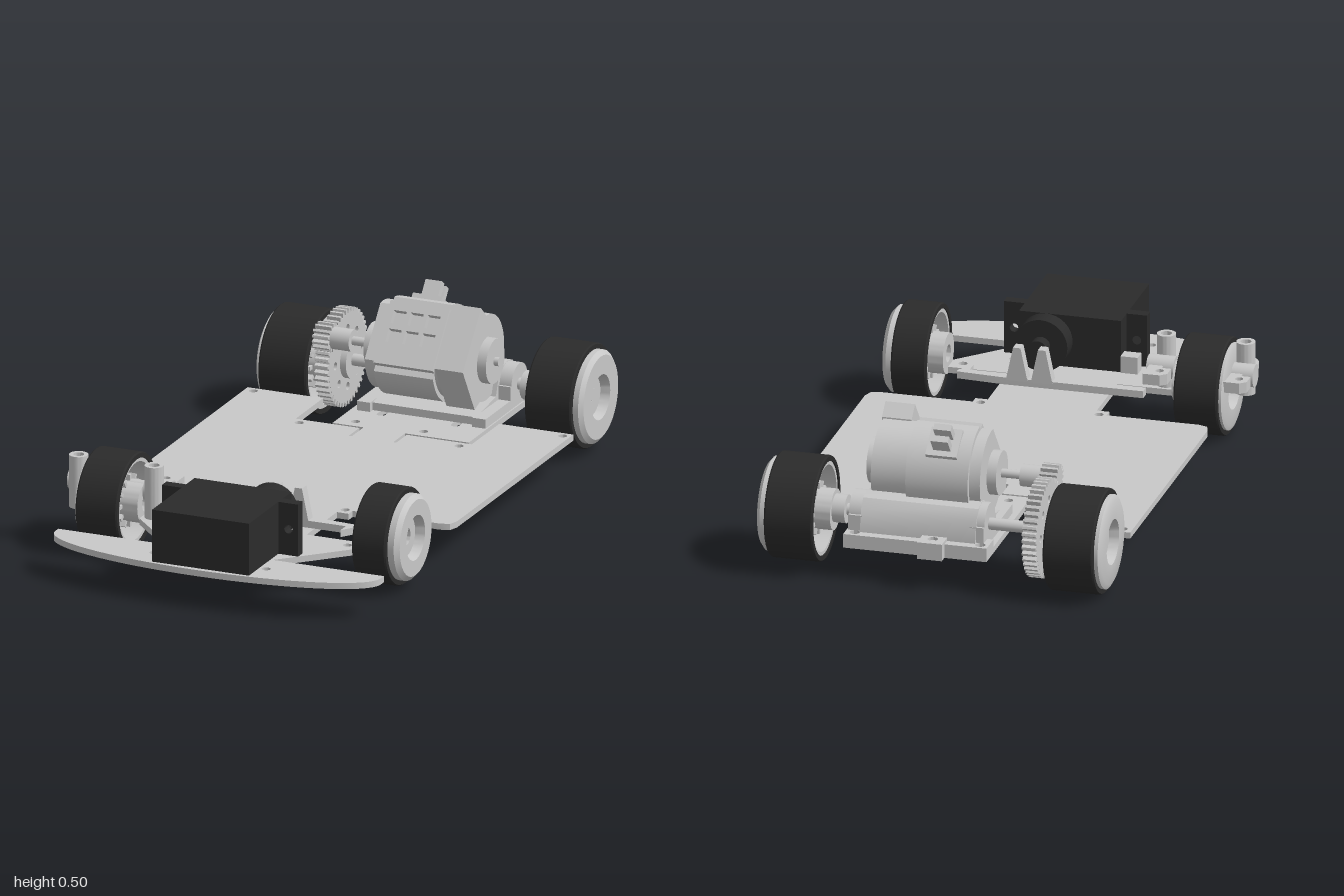
import * as THREE from 'three';
import { toCreasedNormals } from 'three/addons/utils/BufferGeometryUtils.js';

const grey = new THREE.MeshStandardMaterial({ color: 0xc8c8c8 });
grey.name = 'light grey';
const black = new THREE.MeshStandardMaterial({ color: 0x2b2b2b });
black.name = 'black';

export function createModel() {
  const model = new THREE.Group();

  const add = (name, geo, mat = grey, parent = model) => {
    const m = new THREE.Mesh(geo, mat);
    m.name = name;
    parent.add(m);
    return m;
  };
  const box = (x0, x1, y0, y1, z0, z1) =>
    new THREE.BoxGeometry(x1 - x0, y1 - y0, z1 - z0).translate((x0 + x1) / 2, (y0 + y1) / 2, (z0 + z1) / 2);
  const rodX = (r, x0, x1, y, z, n = 32) =>
    new THREE.CylinderGeometry(r, r, x1 - x0, n).rotateZ(Math.PI / 2).translate((x0 + x1) / 2, y, z);
  const rodZ = (r, z0, z1, x, y) =>
    new THREE.CylinderGeometry(r, r, z1 - z0, 32).rotateX(Math.PI / 2).translate(x, y, (z0 + z1) / 2);
  const poly = (pts) => new THREE.Shape(pts.map(([a, b]) => new THREE.Vector2(a, b)));
  const hole = (shape, x, y, r) => shape.holes.push(new THREE.Path().absarc(x, y, r, 0, Math.PI * 2, true));
  const ext = (shape, depth) =>
    toCreasedNormals(new THREE.ExtrudeGeometry(shape, { depth, bevelEnabled: false, curveSegments: 16 }), 0.5);
  // shape drawn in (z, y), extruded along x
  const extX = (shape, x0, x1) => ext(shape, x1 - x0).rotateY(-Math.PI / 2).translate(x1, 0, 0);
  // shape drawn in (x, z), extruded along y
  const extY = (shape, y0, y1) => ext(shape, y1 - y0).rotateX(Math.PI / 2).translate(0, y1, 0);

  // Chassis plate with flexible rear tongue, waist and curved bumper
  const bumper = [];
  for (let i = 0; i <= 32; i++) {
    const a = (i / 32) * Math.PI;
    bumper.push([0.03 + 0.55 * Math.cos(a), 0.835 + 0.157 * Math.sin(a)]);
  }
  const plate = poly([
    [-0.52, -0.64], [-0.265, -0.64], [-0.265, -0.43], [-0.05, -0.43], [-0.05, -0.35], [-0.04, -0.35],
    [-0.04, -0.44], [-0.145, -0.44], [-0.145, -0.95], [-0.01, -0.95], [-0.01, -0.98], [0.07, -0.98],
    [0.07, -0.95], [0.315, -0.95], [0.315, -0.44], [0.1, -0.44], [0.1, -0.35], [0.11, -0.35],
    [0.11, -0.43], [0.33, -0.43], [0.33, -0.64], [0.58, -0.64], [0.58, 0.25], [0.57, 0.28], [0.54, 0.29],
    [0.245, 0.29], [0.245, 0.32], [0.205, 0.32], [0.205, 0.55], [0.4, 0.55], [0.4, 0.61], [0.205, 0.81],
    [0.58, 0.81], ...bumper, [-0.52, 0.81], [-0.145, 0.81], [-0.33, 0.62], [-0.33, 0.55], [-0.145, 0.55],
    [-0.145, 0.32], [-0.185, 0.32], [-0.185, 0.29], [-0.48, 0.29], [-0.51, 0.28], [-0.52, 0.25],
  ]);
  for (const [x, z] of [[-0.49, -0.615], [0.555, -0.615], [-0.24, -0.4], [0.3, -0.4], [-0.16, 0.29],
    [0.22, 0.29], [0.22, 0.67], [-0.16, 0.895], [0.22, 0.895], [0.36, 0.59], [-0.085, -0.48], [0.145, -0.48]])
    hole(plate, x, z, 0.014);
  for (const x of [-0.04, 0.21]) for (const z of [-0.6, -0.76]) { // slots
    const s = new THREE.Path();
    s.absarc(x, z - 0.025, 0.014, Math.PI, 0, false);
    s.absarc(x, z + 0.025, 0.014, 0, Math.PI, false);
    plate.holes.push(s);
  }
  add('chassisPlate', extY(plate, 0.105, 0.125));

  // Wheels: hollow tyre, dished rim and hub; side is the outward x direction
  const wheel = (name, side, inner, width, lip, r, y, z, bore) => {
    const g = new THREE.Group();
    g.name = name;
    const lathe = (pts) => toCreasedNormals(
      new THREE.LatheGeometry(pts.map(([a, b]) => new THREE.Vector2(a, b)), 48), 0.5);
    const w = width, o = width + lip, k = r - 0.018;
    add('tyre', lathe([[k, 0], [r - 0.003, 0], [r, 0.005], [r, w - 0.005], [r - 0.003, w], [k, w], [k, 0]]), black, g);
    add('rim', lathe([[k - 0.012, 0.004], [k, 0.004], [k, w + lip * 0.6], [k - 0.015, o], [0.072, o],
      [0.064, o - 0.03], [bore, o - 0.03], [bore, w - 0.05], [k - 0.012, w - 0.05], [k - 0.012, 0.004]]), grey, g);
    add('hub', lathe([[bore, -0.03], [0.065, -0.03], [0.065, w - 0.05], [bore, w - 0.05], [bore, -0.03]]), grey, g);
    for (let i = 0; i < 12; i++)
      add('hubRib', box(0.06, 0.085, 0.02, w - 0.045, -0.006, 0.006).rotateY((i * Math.PI) / 6), grey, g);
    g.rotation.z = (-side * Math.PI) / 2;
    g.position.set(side * inner, y, z);
    model.add(g);
  };
  wheel('rearLeftWheel', 1, 0.4, 0.155, 0.03, 0.166, 0.184, -0.84, 0.018);
  wheel('rearRightWheel', -1, 0.34, 0.16, 0.02, 0.166, 0.17, -0.84, 0.018);
  wheel('frontLeftWheel', 1, 0.427, 0.113, 0.035, 0.155, 0.168, 0.555, 0.028);
  wheel('frontRightWheel', -1, 0.367, 0.14, 0.014, 0.155, 0.155, 0.555, 0.028);

  // Rear axle, spur gear and pinion
  add('rearAxle', rodX(0.019, -0.5, 0.56, 0.19, -0.84));
  const gear = (name, teeth, r, depth, x0, x1, y, z, holes) => {
    const pts = [];
    for (let i = 0; i < teeth; i++)
      [[0, -depth], [0.25, -depth], [0.4, 0], [0.75, 0]].forEach(([f, d]) => {
        const a = ((i + f) / teeth) * Math.PI * 2;
        pts.push([(r + d) * Math.cos(a), (r + d) * Math.sin(a)]);
      });
    const s = poly(pts);
    for (let i = 0; i < holes; i++) {
      const a = (i / holes) * Math.PI * 2;
      hole(s, 0.095 * Math.cos(a), 0.095 * Math.sin(a), 0.013);
    }
    add(name, extX(s, x0, x1).translate(0, y, z));
  };
  gear('spurGear', 44, 0.157, 0.014, -0.315, -0.27, 0.195, -0.84, 8);
  add('spurHub', rodX(0.06, -0.34, -0.25, 0.19, -0.84));
  gear('pinion', 14, 0.046, 0.013, -0.31, -0.255, 0.305, -0.7, 0);
  add('pinionCollar', rodX(0.035, -0.255, -0.19, 0.305, -0.7));
  add('motorShaft', rodX(0.014, -0.3, 0.305, 0.305, -0.7, 16));

  // Rear axle housing and motor mount
  const housing = poly([[-0.92, 0.125], [-0.6, 0.125], [-0.6, 0.15], [-0.75, 0.17], [-0.77, 0.225],
    [-0.8, 0.25], [-0.84, 0.26], [-0.88, 0.25], [-0.905, 0.22], [-0.92, 0.15]]);
  add('axleHousing', extX(housing, -0.1, 0.27));
  const foot = poly([[-0.145, -0.95], [0.315, -0.95], [0.315, -0.87], [-0.145, -0.87]]);
  [-0.118, 0.285].forEach((x) => hole(foot, x, -0.925, 0.016));
  add('housingFoot', extY(foot, 0.125, 0.15));
  add('mountTab', extY((() => { const s = poly([[-0.01, -0.98], [0.07, -0.98], [0.07, -0.9], [-0.01, -0.9]]);
    hole(s, 0.03, -0.94, 0.016); return s; })(), 0.125, 0.16));
  for (const x of [-0.125, 0.265]) {
    add('bearingBlock', box(x, x + 0.045, 0.125, 0.2, -0.91, -0.77));
    add('bearing', rodX(0.062, x, x + 0.045, 0.195, -0.84));
    add('mountFoot', box(x, x + 0.045, 0.125, 0.155, -0.77, -0.58));
  }
  add('axleCollar', rodX(0.045, 0.33, 0.375, 0.19, -0.84));

  // Motor: cylinder with a flat face towards the upper front
  const cy = 0.308, cz = -0.71, tilt = 0.69;
  const can = (r, d) => {
    const h = Math.acos(d / r), s = new THREE.Shape();
    s.absarc(cz, cy, r, tilt + h, tilt - h + Math.PI * 2, false);
    s.closePath();
    return s;
  };
  add('motorBody', extX(can(0.153, 0.088), -0.06, 0.14));
  add('motorEndRight', extX(can(0.138, 0.1), -0.095, -0.06));
  add('motorEndLeft', extX(can(0.138, 0.1), 0.14, 0.255));
  add('motorBossRight', rodX(0.07, -0.125, -0.095, 0.305, -0.7));
  add('motorBossLeft', rodX(0.072, 0.255, 0.29, 0.305, -0.7));
  // vented cover: 3 x 2 windows
  const cover = poly([[-0.1, -0.105], [0.1, -0.105], [0.1, 0.105], [-0.1, 0.105]]);
  for (let i = 0; i < 3; i++) for (let j = 0; j < 2; j++) {
    const x = -0.08 + i * 0.057, y = -0.032 + j * 0.062;
    cover.holes.push(new THREE.Path([[x, y], [x, y + 0.044], [x + 0.044, y + 0.044], [x + 0.044, y]]
      .map(([a, b]) => new THREE.Vector2(a, b))));
  }
  add('ventCover', ext(cover, 0.026).translate(0, 0, 0.084).rotateX(-tilt).translate(0.04, cy, cz));
  add('terminalBlock', extX(poly([[-0.52, 0.32], [-0.66, 0.487], [-0.7, 0.45], [-0.7, 0.2], [-0.61, 0.17]]), 0.165, 0.26));
  // clip lug on top
  const lug = new THREE.Group();
  lug.name = 'clipLug';
  add('lugBase', box(-0.05, 0.05, 0.14, 0.16, -0.05, 0.05), grey, lug);
  for (const z of [-0.02, 0.022]) add('lugTab', box(-0.028, 0.028, 0.15, 0.215, z - 0.011, z + 0.011), grey, lug);
  lug.position.set(0.03, cy, cz);
  lug.rotation.x = -0.68;
  model.add(lug);

  // Steering servo
  add('servoBody', box(-0.13, 0.197, 0.125, 0.295, 0.65, 0.975), black);
  for (const s of [-1, 1]) {
    const ear = poly([[0.16, 0.125], [0.23, 0.125], [0.23, 0.295], [0.16, 0.295]].map(([x, y]) => [0.034 + s * x, y]));
    hole(ear, 0.034 + s * 0.197, 0.21, 0.014);
    add('servoEar', ext(ear, 0.035).translate(0, 0, 0.715), black);
  }
  add('servoBoss', rodZ(0.085, 0.59, 0.65, 0.11, 0.21), black);
  add('servoSpline', rodZ(0.03, 0.55, 0.59, 0.11, 0.21), black);
  add('servoBracket', box(-0.185, -0.13, 0.125, 0.18, 0.645, 0.69));

  // Steering knuckles: upright post, axle barrel and drilled arm
  for (const x of [-0.548, -0.293]) {
    const ring = new THREE.Shape().absarc(x, 0.59, 0.03, 0, Math.PI * 2, false);
    hole(ring, x, 0.59, 0.017);
    add('kingpinPost', extY(ring, 0.125, 0.295));
    add('knuckleBarrel', rodX(0.036, x - 0.042, x + 0.045, 0.2, 0.55));
    const arm = poly([[x - 0.04, 0.5], [x - 0.04, 0.455], [x - 0.02, 0.437], [x + 0.035, 0.437], [x + 0.035, 0.57], [x - 0.01, 0.57], [x - 0.01, 0.5]]);
    hole(arm, x - 0.01, 0.475, 0.013);
    add('steeringArm', extY(arm, 0.18, 0.215));
  }
  add('frontStubAxle', rodX(0.024, -0.58, -0.25, 0.2, 0.55));

  // Steering link with triangular supports
  add('steeringLink', extY(poly([[-0.255, 0.458], [0.2, 0.455], [0.345, 0.465], [0.345, 0.48], [0.31, 0.53],
    [0.31, 0.49], [-0.255, 0.49]]), 0.125, 0.148));
  for (const x of [0.07, 0.15])
    add('linkSupport', ext(poly([[x - 0.035, 0.14], [x + 0.035, 0.14], [x + 0.012, 0.25], [x - 0.012, 0.25]]), 0.035)
      .translate(0, 0, 0.455));
  return model;
}
